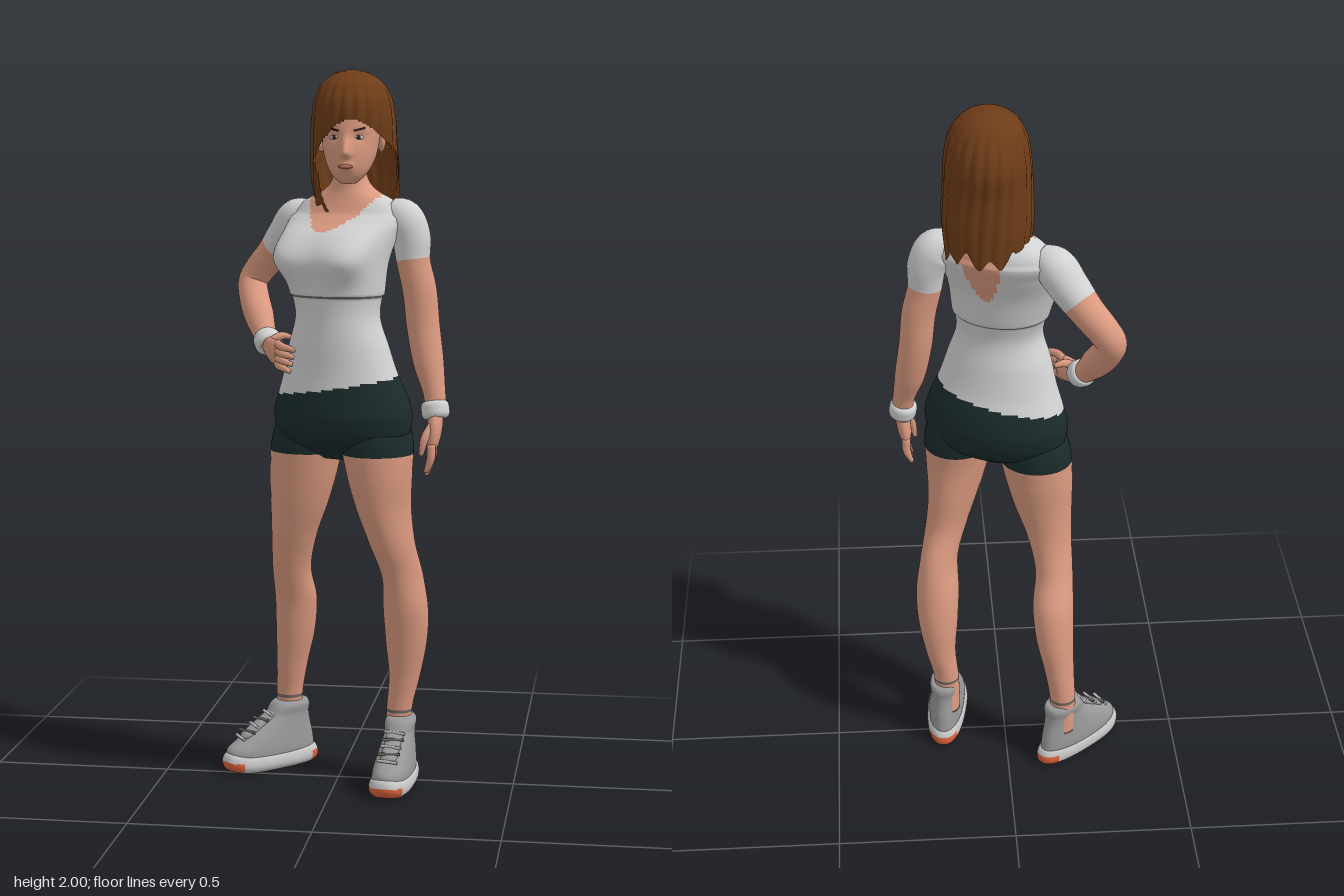
import * as THREE from 'three';

const mat = (name, color, side = THREE.FrontSide) => {
  const m = new THREE.MeshStandardMaterial({ color, side });
  m.name = name;
  return m;
};
const skin = mat('skin', 0xdb9a80), shirt = mat('shirt', 0xd2d2d2), shorts = mat('shorts', 0x1b2b2b);
const hair = mat('hair', 0x6e3c18, THREE.DoubleSide), shoe = mat('shoe', 0x989898), sole = mat('sole', 0xc6c6c6);
const orange = mat('orange', 0xd9623c), dark = mat('dark', 0x3a2620), seam = mat('seam', 0x6b6663), lip = mat('lip', 0xbb705f);

// Sweeps elliptical sections [x, y, z, rx, rz] along a smooth path. Level sections stay horizontal.
// pick(point, angle, t) gives the material index of each face, or -1 for an opening.
function sweep(name, rows, mats, o = {}) {
  const { yaw = 0, level = false, n = 24, steps = 30, sq = 1, pick = () => 0, shape, caps = true } = o;
  rows = rows.map(r => (r.length === 4 ? [...r, r[3]] : r));
  const knots = [0];
  for (let i = 1; i < rows.length; i++) {
    const [a, b] = [rows[i - 1], rows[i]];
    knots.push(knots[i - 1] + Math.hypot(b[0] - a[0], b[1] - a[1], b[2] - a[2]));
  }
  const spline = new THREE.CubicInterpolant(knots, rows.flat(), 5);
  const at = t => Array.from(spline.evaluate(THREE.MathUtils.clamp(t, 0, 1) * knots.at(-1)));
  const pow = v => Math.sign(v) * Math.abs(v) ** sq;
  const pts = [], centres = [];
  for (let i = 0; i <= steps; i++) {
    const t = i / steps, [x, y, z, rx, rz] = at(t), c = new THREE.Vector3(x, y, z);
    const T = new THREE.Vector3(0, 1, 0), U = new THREE.Vector3(Math.cos(yaw), 0, -Math.sin(yaw));
    if (!level) {
      const p = at(t - 0.01), q = at(t + 0.01);
      T.set(q[0] - p[0], q[1] - p[1], q[2] - p[2]).normalize();
      U.addScaledVector(T, -U.dot(T)).normalize();
    }
    const V = new THREE.Vector3().crossVectors(U, T);
    centres.push(c);
    for (let j = 0; j < n; j++) {
      const a = (j / n) * Math.PI * 2;
      const p = c.clone().addScaledVector(U, rx * pow(Math.cos(a))).addScaledVector(V, rz * pow(Math.sin(a)));
      if (shape) shape(p, a, t, c);
      pts.push(p);
    }
  }
  const faces = mats.map(() => []);
  const id = (i, j) => i * n + (j % n);
  for (let i = 0; i < steps; i++) for (let j = 0; j < n; j++) {
    const q = [id(i, j), id(i + 1, j), id(i, j + 1), id(i + 1, j + 1)];
    const mid = new THREE.Vector3();
    q.forEach(k => mid.addScaledVector(pts[k], 0.25));
    const k = pick(mid, ((j + 0.5) / n) * Math.PI * 2, (i + 0.5) / steps);
    if (k >= 0) faces[k].push(q[0], q[1], q[2], q[2], q[1], q[3]);
  }
  for (const [i, flip] of [[0, 0], [steps, 1]]) {
    if (!caps && !flip) continue;
    const c = pts.length, t = flip;
    pts.push(centres[i].clone());
    const k = Math.max(0, pick(pts[id(i, 0)], 0, t));
    for (let j = 0; j < n; j++) faces[k].push(c, id(i, j + flip), id(i, j + 1 - flip));
  }
  const g = new THREE.BufferGeometry().setFromPoints(pts);
  g.setIndex(faces.flat());
  let start = 0;
  faces.forEach((f, k) => { if (f.length) g.addGroup(start, f.length, k); start += f.length; });
  g.computeVertexNormals();
  const mesh = new THREE.Mesh(g, mats);
  mesh.name = name;
  return mesh;
}

function part(name, geo, m, pos, rot = [0, 0, 0], scale = [1, 1, 1]) {
  const mesh = new THREE.Mesh(geo, m);
  mesh.name = name;
  mesh.position.set(...pos); mesh.rotation.set(...rot); mesh.scale.set(...scale);
  return mesh;
}

const YAW = -0.43;
const bump = (d, w) => Math.exp(-(d * d) / (w * w));

function makeTorso() {
  const rows = [
    [0.02, 0.935, 0.055, 0.07, 0.05], [0.02, 0.985, 0.055, 0.18, 0.118], [0.02, 1.05, 0.055, 0.208, 0.14],
    [0.02, 1.11, 0.055, 0.195, 0.132], [0.015, 1.17, 0.06, 0.172, 0.118], [0.01, 1.25, 0.065, 0.148, 0.108],
    [0.008, 1.33, 0.07, 0.123, 0.1], [0.005, 1.4, 0.062, 0.134, 0.108], [0, 1.48, 0.05, 0.15, 0.115],
    [0.01, 1.55, 0.02, 0.165, 0.112], [0.025, 1.6, -0.012, 0.17, 0.09], [0.03, 1.64, -0.015, 0.14, 0.075],
    [0.032, 1.67, -0.008, 0.078, 0.06], [0.033, 1.7, 0.002, 0.05, 0.05], [0.035, 1.78, 0.02, 0.046, 0.05]];
  const hem = p => 1.137 + 0.17 * p.x;
  return sweep('torso', rows, [shirt, skin, shorts, seam], {
    level: true, yaw: YAW, n: 96, steps: 130,
    shape(p, a, t, c) {
      const out = p.clone().sub(c).setY(0).normalize();
      // bust, and the loose lower edge of the cropped top
      let d = 0;
      for (const s of [-1, 1]) d += 0.043 * bump(a - Math.PI / 2 - s * 0.55, 0.45) * bump(p.y - 1.49, p.y > 1.49 ? 0.075 : 0.06);
      if (p.y > 1.385 && p.y < 1.6) d += 0.005;
      p.addScaledVector(out, d);
    },
    pick(p, a) {
      if (p.y < hem(p)) return 2;
      const u = (p.x - 0.028) * Math.cos(YAW) - (p.z + 0.005) * Math.sin(YAW);
      const front = Math.sin(a) > 0;
      if (p.y > 1.66 || p.y > (front ? 1.56 + 8 * u * u : 1.475 + 36 * u * u)) return 1;
      if (Math.abs(p.y - 1.383) < 0.0034) return 3;
      return 0;
    },
  });
}

function makeLeg(name, rows) {
  return sweep(name, rows, [skin, shorts, seam], {
    level: true, yaw: YAW, n: 40, steps: 110,
    pick: p => (p.y > 0.95 ? 1 : Math.abs(p.y - 0.207) < 0.0045 ? 2 : 0),
  });
}

function makeShoe(name, x, z, yaw) {
  const g = new THREE.Group();
  g.name = name;
  const shape = p => { p.x *= 1 + 0.8 * p.z; p.y += 2 * Math.max(0, p.z - 0.08) ** 2; };
  g.add(sweep('sole', [[0, 0, 0, 0.045, 0.145], [0, 0.01, 0, 0.055, 0.155], [0, 0.04, 0, 0.055, 0.153], [0, 0.05, 0, 0.048, 0.146]],
    [sole, orange], { level: true, sq: 0.8, n: 48, steps: 12, shape, pick: p => (p.y < 0.035 && Math.abs(p.z) > 0.118 ? 1 : 0) }));
  g.add(sweep('upper', [[0, 0.03, 0, 0.05, 0.147], [0, 0.06, 0, 0.052, 0.143], [0, 0.09, -0.015, 0.049, 0.123],
    [0, 0.12, -0.035, 0.045, 0.095], [0, 0.15, -0.055, 0.042, 0.07], [0, 0.185, -0.067, 0.042, 0.056], [0, 0.19, -0.068, 0.036, 0.05]],
    [shoe], { level: true, sq: 0.85, n: 40, steps: 30, shape }));
  // tongue and laces on the instep
  g.add(part('tongue', new THREE.CapsuleGeometry(0.024, 0.09, 4, 12), shoe, [0, 0.13, 0.042], [-1.02, 0, 0], [1, 1, 0.4]));
  for (let i = 0; i < 5; i++)
    g.add(part('lace', new THREE.CylinderGeometry(0.0045, 0.0045, 0.062, 6), i % 2 ? seam : sole,
      [0, 0.158 - 0.0145 * i, 0.012 + 0.023 * i], [0, i % 2 ? 0.2 : -0.2, Math.PI / 2]));
  g.position.set(x, 0, z);
  g.rotation.y = yaw;
  return g;
}

function makeHead() {
  const g = new THREE.Group();
  g.name = 'head';
  const X = 0.038;
  g.add(sweep('face', [[X, 1.69, 0.075, 0.02, 0.03], [X, 1.71, 0.068, 0.043, 0.052], [X, 1.75, 0.045, 0.066, 0.085],
    [X, 1.8, 0.03, 0.078, 0.1], [0.04, 1.85, 0.02, 0.083, 0.108], [0.04, 1.9, 0.015, 0.083, 0.105],
    [0.04, 1.95, 0.01, 0.065, 0.085], [0.04, 1.98, 0.005, 0.035, 0.05]], [skin], {
    level: true, n: 80, steps: 70,
    shape(p, a) {
      if (Math.sin(a) < 0.3) return;
      const dx = p.x - X;
      p.z += 0.03 * bump(dx, 0.013) * bump(p.y - 1.772, p.y > 1.772 ? 0.034 : 0.011);
      p.z += 0.008 * bump(dx, 0.022) * bump(p.y - 1.737, 0.014);
      for (const s of [-1, 1]) p.z -= 0.007 * bump(dx - s * 0.034, 0.018) * bump(p.y - 1.815, 0.014);
    },
  }));
  const ball = new THREE.SphereGeometry(1, 16, 12);
  for (const s of [-1, 1]) {
    g.add(part('eye', ball, sole, [X + s * 0.034, 1.815, 0.114], [0, s * 0.35, -s * 0.1], [0.014, 0.006, 0.005]));
    g.add(part('iris', ball, dark, [X + s * 0.033, 1.815, 0.117], [0, s * 0.3, 0], [0.006, 0.006, 0.004]));
    g.add(part('eyebrow', new THREE.BoxGeometry(0.032, 0.005, 0.008), dark, [X + s * 0.036, 1.836, 0.12], [0, s * 0.4, s * 0.22]));
    g.add(part('ear', ball, skin, [X + s * 0.083, 1.805, 0.02], [0.15, s * 0.3, 0], [0.011, 0.031, 0.019]));
  }
  g.add(part('lips', ball, lip, [X, 1.737, 0.137], [0, 0, 0], [0.02, 0.006, 0.006]));

  // bob with scalloped locks, open around the face
  g.add(sweep('hair', [[0.045, 1.62, -0.025, 0.108, 0.1], [0.045, 1.7, -0.015, 0.117, 0.115], [0.043, 1.8, 0, 0.114, 0.13],
    [0.043, 1.87, 0.006, 0.11, 0.141], [0.042, 1.93, 0.01, 0.098, 0.126], [0.04, 1.97, 0.008, 0.073, 0.094],
    [0.04, 1.99, 0.005, 0.04, 0.052], [0.04, 1.997, 0.003, 0.012, 0.016]], [hair], {
    level: true, n: 120, steps: 70, caps: false,
    shape(p, a, t, c) {
      const k = 1 + 0.05 * Math.abs(Math.sin(a * 10 + 2 * t)) * Math.min(1, 5 * (1 - t));
      p.x = c.x + (p.x - c.x) * k;
      p.z = c.z + (p.z - c.z) * k;
      p.y += (1 - t) ** 6 * (0.018 * Math.sin(a * 11) + 0.01 * Math.sin(a * 5));
    },
    pick(p) {
      const line = 1.862 - 8 * (p.x - 0.055) ** 2;
      return p.z > (p.x > 0.04 ? 0.005 : 0.06) && p.y < line ? -1 : 0;
    },
  }));
  return g;
}

function makeArm(side, rows, sleeveEnd, band) {
  const g = new THREE.Group();
  g.name = side + 'Arm';
  g.add(sweep('armAndSleeve', rows, [skin, shirt], { n: 32, steps: 90, pick: (p, a, t) => (t < sleeveEnd ? 1 : 0) }));
  const [a, b] = band, mix = (t, r) => [0, 1, 2].map(i => a[i] + (b[i] - a[i]) * t).concat(r);
  g.add(sweep('wristband', [mix(0, 0.031), mix(0.15, 0.037), mix(0.5, 0.039), mix(0.85, 0.037), mix(1, 0.031)], [shirt], { steps: 16 }));
  return g;
}

const finger = (name, a, b, c) => sweep(name, [[...a, 0.0115], [...b, 0.0115], [...c, 0.006]], [skin], { n: 10, steps: 10 });

export function createModel() {
  const model = new THREE.Group();
  model.name = 'standingWoman';
  model.add(makeTorso(), makeHead());

  // legs and shoes
  model.add(makeLeg('rightLeg', [
    [-0.162, 0.1, -0.135, 0.038, 0.042], [-0.162, 0.2, -0.133, 0.037, 0.038], [-0.152, 0.3, -0.12, 0.042, 0.05],
    [-0.14, 0.4, -0.107, 0.053, 0.062], [-0.135, 0.5, -0.088, 0.058, 0.064], [-0.14, 0.6, -0.045, 0.053, 0.06],
    [-0.128, 0.7, -0.015, 0.063, 0.067], [-0.11, 0.8, 0, 0.083, 0.08], [-0.096, 0.9, 0.005, 0.098, 0.092],
    [-0.082, 1, 0.01, 0.1, 0.097], [-0.07, 1.07, 0.02, 0.075, 0.08]]));
  model.add(makeLeg('leftLeg', [
    [0.175, 0.1, -0.015, 0.04, 0.045], [0.173, 0.2, -0.01, 0.036, 0.037], [0.188, 0.3, -0.008, 0.042, 0.049],
    [0.194, 0.4, 0.002, 0.056, 0.063], [0.194, 0.5, 0.02, 0.061, 0.07], [0.187, 0.6, 0.043, 0.052, 0.072],
    [0.162, 0.7, 0.078, 0.058, 0.077], [0.14, 0.8, 0.092, 0.07, 0.092], [0.128, 0.9, 0.1, 0.088, 0.1],
    [0.12, 1, 0.095, 0.097, 0.106], [0.11, 1.07, 0.09, 0.08, 0.09]]));
  model.add(makeShoe('rightShoe', -0.21, -0.085, -0.83), makeShoe('leftShoe', 0.172, 0.065, -0.12));

  // left arm hanging down
  model.add(makeArm('left', [
    [0.145, 1.615, 0.025, 0.04], [0.18, 1.595, 0.03, 0.055], [0.204, 1.55, 0.032, 0.054], [0.212, 1.48, 0.036, 0.047],
    [0.23, 1.4, 0.038, 0.047], [0.241, 1.3, 0.041, 0.046], [0.258, 1.2, 0.055, 0.042], [0.276, 1.12, 0.074, 0.031], [0.283, 1.06, 0.085, 0.029]],
    0.27, [[0.276, 1.098, 0.077], [0.283, 1.052, 0.087]]));
  model.add(sweep('leftPalm', [[0.282, 1.07, 0.085, 0.02, 0.026], [0.28, 1.03, 0.095, 0.021, 0.038], [0.274, 0.985, 0.097, 0.017, 0.038], [0.27, 0.965, 0.097, 0.01, 0.03]], [skin]));
  for (let i = 0; i < 4; i++) {
    const z = 0.067 + 0.02 * i;
    model.add(finger('leftFinger', [0.273, 0.985, z], [0.272, 0.945, z], [0.258, [0.912, 0.9, 0.898, 0.908][i], z - 0.003]));
  }
  model.add(finger('leftThumb', [0.272, 1.035, 0.115], [0.255, 1, 0.132], [0.246, 0.955, 0.132]));

  // right arm bent, hand on the hip
  model.add(makeArm('right', [
    [-0.09, 1.605, -0.065, 0.04], [-0.125, 1.59, -0.085, 0.055], [-0.165, 1.54, -0.115, 0.054], [-0.21, 1.485, -0.15, 0.047],
    [-0.25, 1.44, -0.172, 0.044], [-0.272, 1.405, -0.175, 0.042], [-0.264, 1.36, -0.148, 0.043],
    [-0.243, 1.31, -0.108, 0.042], [-0.216, 1.255, -0.06, 0.031], [-0.2, 1.23, -0.03, 0.028]],
    0.3, [[-0.216, 1.257, -0.066], [-0.2, 1.23, -0.028]]));
  model.add(sweep('rightPalm', [[-0.203, 1.235, -0.035, 0.02, 0.026], [-0.188, 1.225, 0, 0.018, 0.034], [-0.166, 1.218, 0.035, 0.016, 0.036], [-0.155, 1.215, 0.05, 0.01, 0.028]], [skin]));
  for (let i = 0; i < 4; i++) {
    const y = 1.246 - 0.019 * i;
    model.add(finger('rightFinger', [-0.168, y, 0.03], [-0.148, y - 0.004, 0.075], [-0.1 - 0.007 * i, y - 0.012, 0.108]));
  }
  model.add(finger('rightThumb', [-0.19, 1.25, -0.015], [-0.165, 1.262, -0.022], [-0.135, 1.258, -0.03]));
  return model;
}
